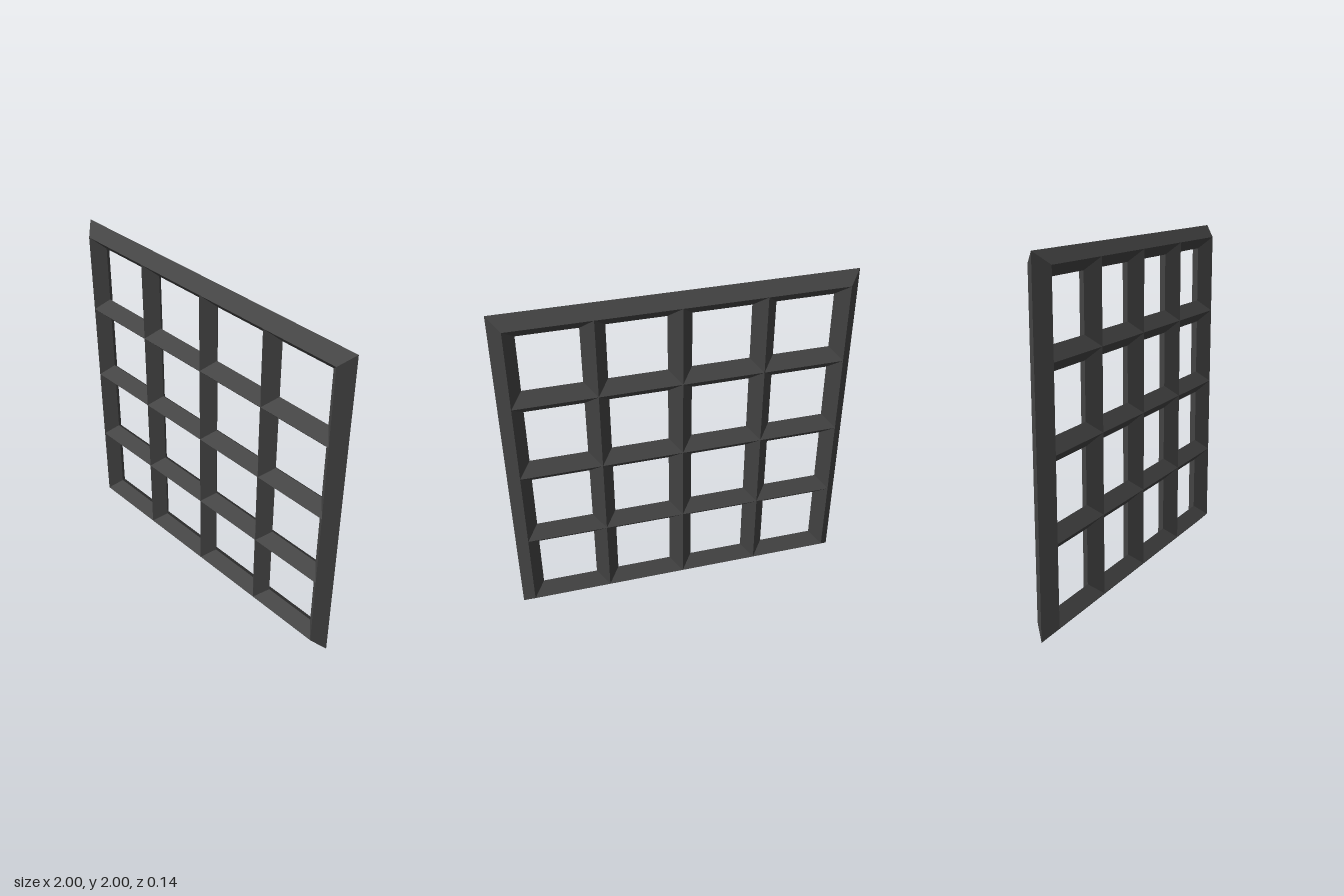
import * as THREE from 'three';

const R = 0.068;          // half-diagonal of the diamond-section bars
const N = 4;              // openings per side
const HALF = 1 - R;       // centre line of the outer bars
const PITCH = (2 * HALF) / N;

// Mitred square band: ridges at z = ±R, crease at z = 0.
// Wider crease gives an outward face, narrower crease an inward one.
function bevelBand(ridge, crease) {
  const s = crease > ridge ? 1 : -1;
  const points = [[ridge, -s * R], [crease, 0], [ridge, s * R]]
    .map(([h, y]) => new THREE.Vector2(h * Math.SQRT2, y));
  const lathe = new THREE.LatheGeometry(points, 4, Math.PI / 4).rotateX(Math.PI / 2);
  const geometry = lathe.toNonIndexed();
  geometry.computeVertexNormals();
  return geometry;
}

export function createModel() {
  const group = new THREE.Group();
  group.name = 'latticePanel';
  const darkGrey = new THREE.MeshStandardMaterial({ color: 0x444444, flatShading: true });
  darkGrey.name = 'darkGrey';

  // Outer half of the frame bars
  const rim = new THREE.Mesh(bevelBand(HALF, 1), darkGrey);
  rim.name = 'outerFrame';
  rim.position.y = 1;
  group.add(rim);

  // Bar faces around each opening; neighbours meet along the bar ridges
  const lattice = new THREE.Group();
  lattice.name = 'latticeBars';
  const opening = bevelBand(PITCH / 2, PITCH / 2 - R);
  for (let row = 0; row < N; row++) {
    for (let col = 0; col < N; col++) {
      const cell = new THREE.Mesh(opening, darkGrey);
      cell.name = `openingBarsRow${row + 1}Column${col + 1}`;
      cell.position.set(-HALF + (col + 0.5) * PITCH, R + (row + 0.5) * PITCH, 0);
      lattice.add(cell);
    }
  }
  group.add(lattice);
  return group;
}
